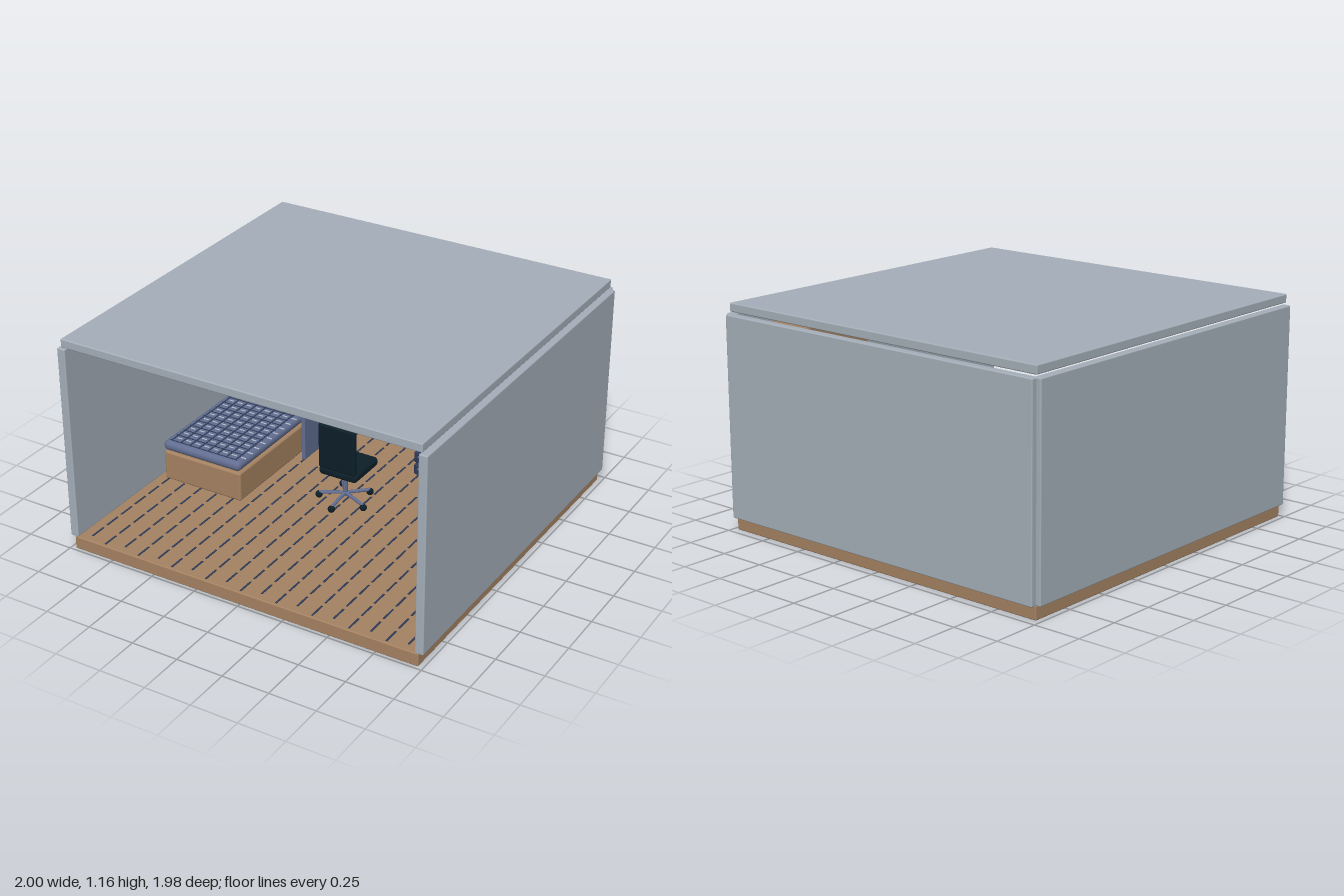
import * as THREE from 'three';
import { RoundedBoxGeometry } from 'three/addons/geometries/RoundedBoxGeometry.js';

const mat = (name, color, side = THREE.FrontSide) => {
  const m = new THREE.MeshStandardMaterial({ color, side });
  m.name = name;
  return m;
};

export function createModel() {
  const root = new THREE.Group();
  root.name = 'bedroom';
  const wall = mat('wall grey', 0xa5afb9);
  const wood = mat('wood', 0xa58262);
  const navy = mat('navy', 0x2e3a57);
  const slate = mat('slate blue', 0x626e92);
  const dark = mat('near black', 0x0d1f28);
  const light = mat('pale grey', 0xb9c1cb, THREE.DoubleSide);
  const amber = mat('lit amber', 0xd0a878);

  const group = (name, parent = root) => {
    const g = new THREE.Group();
    g.name = name;
    parent.add(g);
    return g;
  };
  const add = (parent, name, geo, m, x = 0, y = 0, z = 0) => {
    const mesh = new THREE.Mesh(geo, m);
    mesh.name = name;
    mesh.position.set(x, y, z);
    parent.add(mesh);
    return mesh;
  };
  // Box from its limits, optionally with rounded edges
  const box = (parent, name, m, [x0, x1], [y0, y1], [z0, z1], r = 0) => {
    const s = [x1 - x0, y1 - y0, z1 - z0];
    const geo = r ? new RoundedBoxGeometry(...s, 3, r) : new THREE.BoxGeometry(...s);
    return add(parent, name, geo, m, (x0 + x1) / 2, (y0 + y1) / 2, (z0 + z1) / 2);
  };
  // Round rod between two points
  const rod = (parent, name, m, a, b, r) => {
    const p = new THREE.Vector3(...a), q = new THREE.Vector3(...b);
    const mesh = add(parent, name, new THREE.CylinderGeometry(r, r, p.distanceTo(q), 12), m);
    mesh.position.copy(p).lerp(q, 0.5);
    mesh.quaternion.setFromUnitVectors(new THREE.Vector3(0, 1, 0), q.sub(p).normalize());
    return mesh;
  };
  let seed = 7;
  const rand = () => (seed = (seed * 16807) % 2147483647) / 2147483647;

  // Room shell
  const shell = group('shell');
  const depth = [-0.96, 0.985];
  box(shell, 'floor', wood, [-0.975, 0.975], [0, 0.07], depth, 0.006);
  box(shell, 'ceiling', wall, [-0.975, 0.975], [1.12, 1.165], depth, 0.006);
  box(shell, 'backWall', wall, [-0.975, 0.975], [0.07, 1.11], [-0.99, -0.945], 0.006);
  for (const s of [-1, 1])
    box(shell, 'sideWall', wall, s < 0 ? [-1, -0.955] : [0.955, 1], [0.07, 1.11], depth, 0.006);
  box(shell, 'baseboard', navy, [-0.955, 0.955], [0.07, 0.127], [-0.946, -0.93]);

  // Gaps between floor planks, broken into dashes
  const gaps = group('plankGaps');
  for (let i = 0; i < 19; i++) {
    const x = -0.9 + i * 0.1;
    for (let j = 0; j < 16; j++) {
      const z = -0.92 + j * 0.118 + (i % 2) * 0.03;
      box(gaps, 'plankGap', navy, [x - 0.005, x + 0.005], [0.069, 0.072], [z, z + 0.09]);
    }
  }

  // Bed
  const bed = group('bed');
  box(bed, 'bedBase', wood, [-0.92, -0.45], [0.07, 0.233], [-0.64, 0.29], 0.012);
  box(bed, 'mattress', slate, [-0.928, -0.455], [0.235, 0.29], [-0.64, 0.29], 0.026);
  const pillow = add(bed, 'pillow', new RoundedBoxGeometry(0.36, 0.05, 0.22, 5, 0.024), slate, -0.69, 0.292, -0.48);
  const pos = pillow.geometry.attributes.position;
  for (let i = 0; i < pos.count; i++) {
    const edge = Math.max(Math.abs(pos.getX(i)) / 0.18, Math.abs(pos.getZ(i)) / 0.11);
    pos.setY(i, pos.getY(i) * (1 - 0.35 * edge * edge));
  }
  pillow.geometry.computeVertexNormals();
  const quilt = group('quiltPattern', bed);
  for (let i = 0; i < 8; i++) {
    const x = -0.89 + i * 0.0565;
    box(quilt, 'quiltSeam', navy, [x - 0.004, x + 0.004], [0.288, 0.2915], [-0.34, 0.26]);
    for (let j = 0; j < 10; j++)
      box(quilt, 'quiltStitch', light, [x + 0.012, x + 0.042], [0.289, 0.292],
        [-0.318 + j * 0.06, -0.311 + j * 0.06]);
  }
  for (let j = 0; j < 11; j++)
    box(quilt, 'quiltSeam', navy, [-0.9, -0.485], [0.288, 0.2915], [-0.344 + j * 0.06, -0.337 + j * 0.06]);

  // Wardrobe with doors facing the room
  const wardrobe = group('wardrobe');
  box(wardrobe, 'wardrobeBody', wood, [0.685, 0.91], [0.07, 1.045], [-0.88, -0.3], 0.01);
  for (const z of [-0.875, -0.588])
    box(wardrobe, 'wardrobeDoor', wood, [0.68, 0.7], [0.08, 1.04], [z, z + 0.283], 0.005);
  for (const z of [-0.63, -0.565])
    box(wardrobe, 'wardrobeHandle', navy, [0.668, 0.682], [0.49, 0.557], [z, z + 0.015], 0.004);

  // Desk and hanging drawers
  const desk = group('desk');
  box(desk, 'deskTop', wood, [-0.44, 0.435], [0.383, 0.406], [-0.84, -0.22], 0.008);
  for (const x of [-0.404, 0.395])
    box(desk, 'deskLeg', slate, [x - 0.011, x + 0.011], [0.07, 0.384], [-0.81, -0.24], 0.005);
  for (let i = 0; i < 3; i++) {
    const y = 0.16 + i * 0.0715;
    box(desk, 'drawer', navy, [0.245, 0.42], [y, y + 0.064], [-0.78, -0.27], 0.012);
    box(desk, 'drawerHandle', slate, [0.27, 0.37], [y + 0.037, y + 0.045], [-0.272, -0.262], 0.003);
  }

  // Monitor with a picture and list on its screen
  const monitor = group('monitor');
  const mz = -0.68;
  box(monitor, 'monitorCase', dark, [-0.285, 0.282], [0.463, 0.793], [mz - 0.03, mz], 0.006);
  box(monitor, 'screen', navy, [-0.275, 0.272], [0.473, 0.783], [mz - 0.002, mz + 0.002]);
  box(monitor, 'monitorNeck', dark, [-0.025, 0.025], [0.41, 0.6], [mz - 0.05, mz - 0.03]);
  box(monitor, 'monitorFoot', dark, [-0.1, 0.1], [0.404, 0.414], [mz - 0.1, mz + 0.04], 0.004);
  box(monitor, 'picturePanel', slate, [-0.185, -0.012], [0.495, 0.752], [mz, mz + 0.004]);
  box(monitor, 'pictureShade', navy, [-0.15, -0.05], [0.66, 0.752], [mz, mz + 0.005]);
  for (const [x, y, r] of [[-0.12, 0.69, 0.027], [-0.14, 0.63, 0.03], [-0.09, 0.6, 0.035], [-0.06, 0.54, 0.03], [-0.09, 0.52, 0.02]])
    add(monitor, 'pictureShape', new THREE.CircleGeometry(r, 7), light, x, y, mz + 0.006);
  [0.15, 0.11, 0.13, 0.09, 0.14, 0.1, 0.12].forEach((w, i) => {
    const y = 0.705 - i * 0.0275;
    box(monitor, 'listMark', amber, [0.075, 0.083], [y - 0.004, y + 0.004], [mz, mz + 0.004]);
    box(monitor, 'listBar', light, [0.095, 0.09 + w * 0.9], [y - 0.003, y + 0.003], [mz, mz + 0.004]);
  });

  // Things on the desk
  const items = group('deskItems');
  box(items, 'keyboard', dark, [-0.16, 0.15], [0.405, 0.425], [-0.42, -0.31], 0.006);
  for (let i = 0; i < 4; i++)
    for (let j = 0; j < 12; j++)
      box(items, 'key', slate, [-0.148 + j * 0.0245, -0.13 + j * 0.0245], [0.424, 0.428],
        [-0.41 + i * 0.024, -0.392 + i * 0.024]);
  add(items, 'mouse', new THREE.SphereGeometry(1, 16, 10), dark, 0.228, 0.417, -0.36).scale.set(0.023, 0.015, 0.036);
  add(items, 'coaster', new THREE.CylinderGeometry(0.05, 0.05, 0.008, 24), wood, 0.315, 0.41, -0.45);
  const mug = [[0, 0], [0.027, 0], [0.03, 0.005], [0.03, 0.072], [0.025, 0.072], [0.025, 0.01], [0, 0.01]];
  const slateOpen = mat('mug blue', 0x626e92, THREE.DoubleSide);
  add(items, 'mug', new THREE.LatheGeometry(mug.map(p => new THREE.Vector2(...p)), 24), slateOpen, 0.315, 0.414, -0.45);
  add(items, 'mugHandle', new THREE.TorusGeometry(0.022, 0.005, 8, 20), slate, 0.355, 0.452, -0.45);

  // Microphone on a jointed arm, with its cable
  const mic = group('microphone');
  const joints = [[-0.405, 0.4, -0.5], [-0.405, 0.62, -0.5], [-0.227, 0.715, -0.48], [-0.085, 0.655, -0.46]];
  for (let i = 0; i < 3; i++) {
    rod(mic, 'micArm', dark, joints[i], joints[i + 1], 0.006);
    add(mic, 'micJoint', new THREE.SphereGeometry(0.012, 12, 8), dark, ...joints[i + 1]);
  }
  add(mic, 'micClamp', new THREE.CylinderGeometry(0.02, 0.02, 0.02, 16), dark, -0.405, 0.41, -0.5);
  add(mic, 'micBody', new THREE.CapsuleGeometry(0.025, 0.065, 6, 16), navy, -0.077, 0.628, -0.46);
  for (const y of [0.6, 0.64])
    add(mic, 'micRing', new THREE.TorusGeometry(0.026, 0.004, 6, 20), dark, -0.077, y, -0.46).rotation.x = Math.PI / 2;
  const path = [[-0.077, 0.58, -0.46], [-0.1, 0.49, -0.47], [-0.23, 0.43, -0.48], [-0.4, 0.412, -0.53],
    [-0.443, 0.39, -0.55], [-0.425, 0.33, -0.56], [-0.447, 0.17, -0.58]];
  const cable = new THREE.CatmullRomCurve3(path.map(p => new THREE.Vector3(...p)));
  add(mic, 'micCable', new THREE.TubeGeometry(cable, 48, 0.004, 6), dark);

  // Office chair, turned to the desk
  const chair = group('chair');
  box(chair, 'chairBack', dark, [-0.107, 0.107], [0.28, 0.535], [0.06, 0.092], 0.014);
  box(chair, 'chairSeat', dark, [-0.11, 0.11], [0.235, 0.285], [-0.15, 0.085], 0.02);
  rod(chair, 'chairColumn', slate, [0, 0.1, 0], [0, 0.24, 0], 0.013);
  for (let i = 0; i < 5; i++) {
    const a = Math.PI / 2 + i * Math.PI * 0.4;
    const x = Math.cos(a) * 0.138, z = Math.sin(a) * 0.138;
    rod(chair, 'chairFoot', slate, [0, 0.118, 0], [x, 0.1, z], 0.009);
    add(chair, 'caster', new THREE.SphereGeometry(0.019, 14, 10), dark, x, 0.089, z);
  }

  // Window with a night skyline
  const win = group('window');
  const wz = -0.945;
  box(win, 'nightSky', dark, [-0.88, -0.29], [0.535, 0.94], [wz - 0.002, wz + 0.004]);
  const heights = [0.2, 0.15, 0.12, 0.14, 0.15, 0.17, 0.22, 0.13, 0.11, 0.19, 0.16, 0.13, 0.2, 0.22];
  heights.forEach((h, i) => {
    const x = -0.878 + i * 0.0417;
    box(win, 'tower', navy, [x, x + 0.0417], [0.54, 0.54 + h], [wz, wz + 0.007]);
    for (let y = 0.552; y < 0.53 + h; y += 0.022)
      for (const dx of [0.01, 0.028])
        if (rand() < 0.5)
          box(win, 'litWindow', rand() < 0.6 ? amber : light, [x + dx - 0.004, x + dx + 0.004], [y, y + 0.008], [wz + 0.004, wz + 0.009]);
  });
  for (const x of [-0.735, -0.59, -0.445])
    box(win, 'mullion', navy, [x - 0.004, x + 0.004], [0.535, 0.94], [wz, wz + 0.015]);
  for (const y of [0.535, 0.942]) {
    rod(win, 'frameRail', slate, [-0.895, y, wz + 0.014], [-0.28, y, wz + 0.014], 0.01);
    for (const x of [-0.89, -0.285])
      add(win, 'frameKnob', new THREE.SphereGeometry(0.015, 12, 8), slate, x, y, wz + 0.014);
  }
  for (const x of [-0.882, -0.29])
    rod(win, 'frameSide', slate, [x, 0.535, wz + 0.014], [x, 0.942, wz + 0.014], 0.009);

  return root;
}
